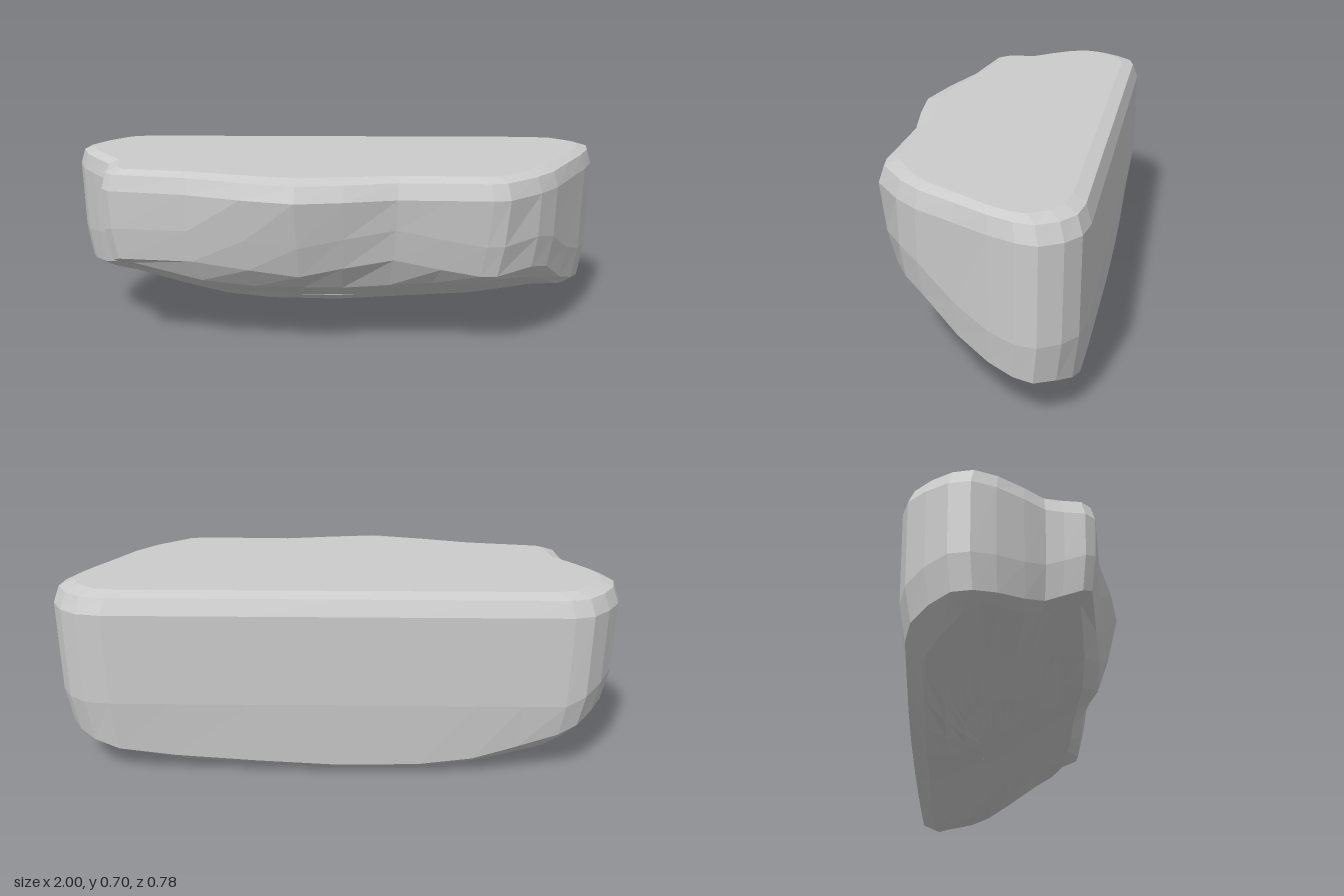
import * as THREE from 'three';

// Outline seen from above, counterclockwise: x, z, height of the wall's lower edge
const OUTLINE = [
  [-0.84, 0.2, 0.35], [-0.81, 0.235, 0.365], [-0.53, 0.28, 0.37], [-0.33, 0.345, 0.35],
  [-0.14, 0.39, 0.33], [0.03, 0.37, 0.36], [0.22, 0.335, 0.39], [0.4, 0.34, 0.355],
  [0.55, 0.345, 0.33], [0.61, 0.335, 0.33], [0.73, 0.24, 0.345],
  [0.8, 0.16, 0.32], [0.88, 0.02, 0.23], [0.95, -0.1, 0.185], [0.99, -0.19, 0.165],
  [1, -0.26, 0.155], [0.96, -0.33, 0.15], [0.9, -0.375, 0.13], [0.81, -0.39, 0.1],
  [0.6, -0.39, 0.075], [0.3, -0.39, 0.055], [0, -0.39, 0.04], [-0.3, -0.39, 0.045],
  [-0.5, -0.39, 0.07], [-0.66, -0.39, 0.12], [-0.81, -0.39, 0.17],
  [-0.88, -0.37, 0.2], [-0.94, -0.31, 0.23], [-0.985, -0.24, 0.25], [-1, -0.17, 0.25],
  [-0.97, -0.09, 0.26], [-0.91, 0, 0.275], [-0.855, 0.07, 0.3], [-0.845, 0.13, 0.325],
];

// Lowest line of the underside along x
const KEEL = [[-1, 0.17], [-0.92, 0.15], [-0.66, 0.075], [-0.5, 0.03], [-0.3, 0.005],
  [0, 0], [0.6, 0.035], [0.85, 0.08], [1, 0.12]];

function keel(x) {
  let i = 1;
  while (i < KEEL.length - 1 && x > KEEL[i][0]) i++;
  const [x0, y0] = KEEL[i - 1], [x1, y1] = KEEL[i];
  return y0 + (y1 - y0) * (x - x0) / (x1 - x0);
}

// The underside rises towards the front
const underside = (x, z) => keel(x) + 0.48 * (z + 0.31);

// One ring: the outline drawn in by side (plus front on the bulging front), at height(x, z, low)
function ring(side, front, height) {
  return OUTLINE.map(([x, z, low]) => {
    const d = side + front * THREE.MathUtils.clamp((z - 0.3) / 0.08, 0, 1);
    const px = x * (1 - d), pz = z * (1 - d / 0.39);
    return [px, height(px, pz, low), pz];
  });
}

function createRockGeometry() {
  const rings = [
    ring(0.065, 0.01, () => 0.697),                                     // flat top
    ring(0.02, 0, () => 0.682),                                         // top bevel
    ring(0, 0, () => 0.625),                                            // widest line
    ring(0.004, 0.036, (x, z, low) => Math.max(0.29, low + 0.12)),      // wall middle
    ring(0.025, 0.055, (x, z, low) => low),                             // wall lower edge
    ring(0.08, 0.08, (x, z, low) => Math.min(underside(x, z), low - 0.02)), // lower bevel
  ];
  // Underside closes in towards the middle
  const rim = rings[rings.length - 1];
  for (const s of [0.75, 0.5, 0.25]) {
    rings.push(rim.map(([x, , z]) => {
      const px = x * s, pz = -0.05 + (z + 0.05) * s;
      return [px, underside(px, pz), pz];
    }));
  }

  const n = OUTLINE.length, index = [];
  for (let r = 0; r < rings.length - 1; r++) {
    for (let i = 0; i < n; i++) {
      const j = (i + 1) % n, u = r * n, l = u + n;
      index.push(l + i, l + j, u + j, l + i, u + j, u + i);
    }
  }
  // Caps on the first and last ring
  const cap = (r, down) => {
    const contour = rings[r].map(([x, , z]) => new THREE.Vector2(x, -z));
    for (const [a, b, c] of THREE.ShapeUtils.triangulateShape(contour, [])) {
      index.push(r * n + a, r * n + (down ? c : b), r * n + (down ? b : c));
    }
  };
  cap(0, false);
  cap(rings.length - 1, true);

  const geometry = new THREE.BufferGeometry();
  geometry.setAttribute('position', new THREE.Float32BufferAttribute(rings.flat(2), 3));
  geometry.setIndex(index);
  const flat = geometry.toNonIndexed();
  flat.computeVertexNormals();
  return flat;
}

export function createModel() {
  const group = new THREE.Group();
  group.name = 'rockLedge';
  const rock = new THREE.Mesh(
    createRockGeometry(),
    new THREE.MeshStandardMaterial({ color: 0xcccccc, flatShading: true }),
  );
  rock.name = 'rock';
  group.add(rock);
  return group;
}
